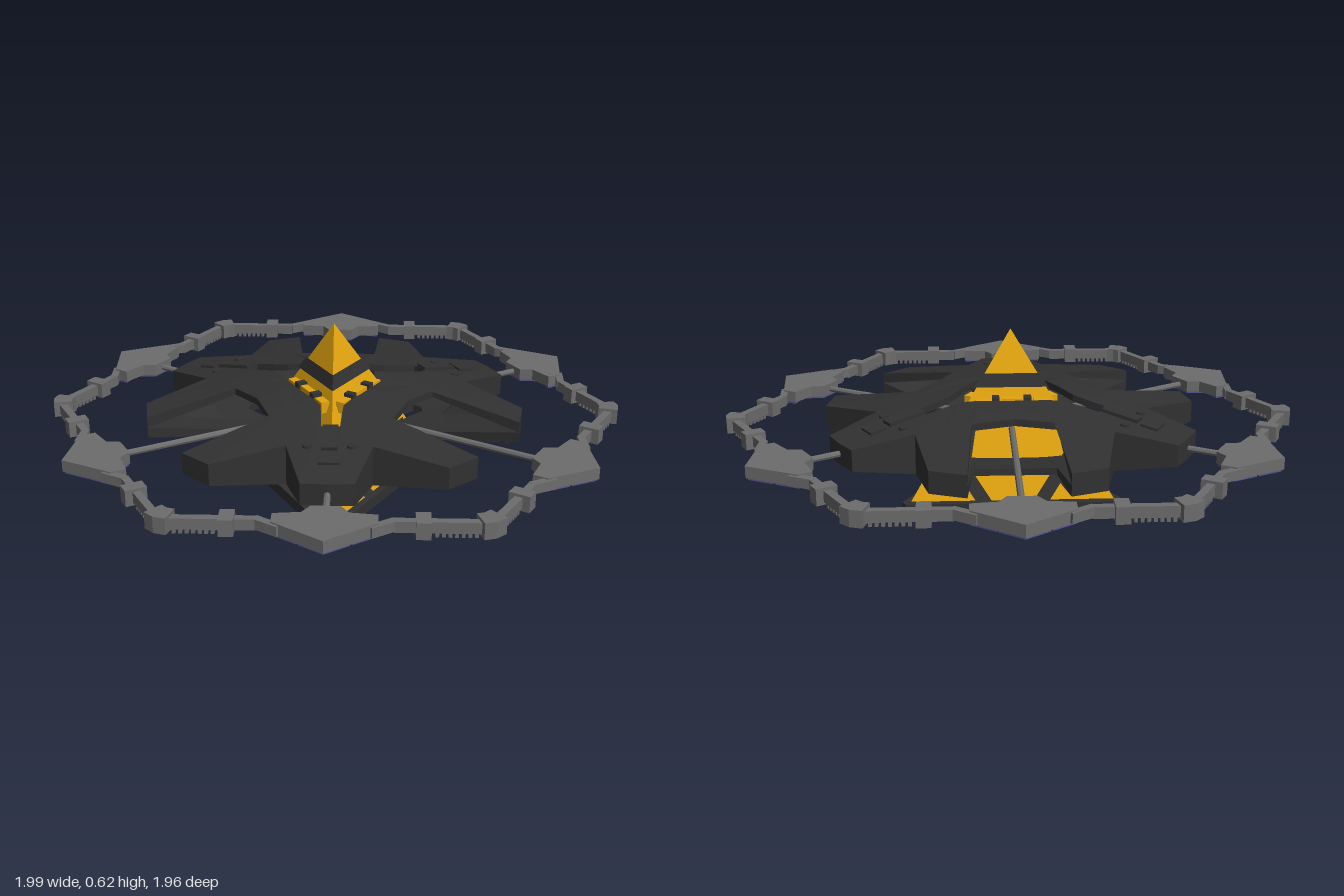
import * as THREE from 'three';

const mat = (name, color) => {
  const m = new THREE.MeshStandardMaterial({ color, flatShading: true });
  m.name = name;
  return m;
};
const hullDark = mat('charcoal', 0x313131);
const ringGrey = mat('grey', 0x6c6c6c);
const gold = mat('gold', 0xe3a40f);
const blue = mat('slateBlue', 0x565392);

const MID = 0.295; // height of the ring plane
const rad = THREE.MathUtils.degToRad;

function add(parent, name, geo, material, x = 0, y = 0, z = 0, ry = 0) {
  const m = new THREE.Mesh(geo, material);
  m.name = name;
  m.position.set(x, y, z);
  m.rotation.y = ry;
  parent.add(m);
  return m;
}
const box = (p, name, material, w, h, d, x, y, z, ry = 0) =>
  add(p, name, new THREE.BoxGeometry(w, h, d), material, x, y, z, ry);

// Flat plate from [x, z] points between heights y0 and y1
function plate(p, name, material, pts, y0, y1) {
  const s = new THREE.Shape(pts.map(([x, z]) => new THREE.Vector2(x, -z)));
  const g = new THREE.ExtrudeGeometry(s, { depth: y1 - y0, bevelEnabled: false });
  g.rotateX(-Math.PI / 2);
  return add(p, name, g, material, 0, y0, 0);
}
const mirrorX = half => [...half, ...half.slice().reverse().filter(q => q[0] !== 0).map(([x, z]) => [-x, z])];

// Horizontal bar between two [x, z] points
function bar(p, name, material, a, b, w, h, y) {
  const dx = b[0] - a[0], dz = b[1] - a[1];
  return box(p, name, material, w, h, Math.hypot(dx, dz), (a[0] + b[0]) / 2, y, (a[1] + b[1]) / 2, Math.atan2(dx, dz));
}

// Surface from loops of points, joined loop to loop and closed around
function loft(loops, flip) {
  const n = loops[0].length, idx = [];
  loops.forEach((_, k) => {
    const k2 = (k + 1) % loops.length;
    for (let i = 0; i < n; i++) {
      const j = (i + 1) % n;
      const a = k * n + i, b = k * n + j, c = k2 * n + j, d = k2 * n + i;
      if (flip) idx.push(a, b, c, a, c, d); else idx.push(a, c, b, a, d, c);
    }
  });
  const g = new THREE.BufferGeometry();
  g.setAttribute('position', new THREE.Float32BufferAttribute(loops.flat(2), 3));
  g.setIndex(idx);
  g.computeVertexNormals();
  return g;
}

// Full three-armed outline from a half arm of [degrees, radius]
function arms(half) {
  const out = [];
  for (let k = 0; k < 3; k++) {
    half.slice(1, -1).reverse().forEach(([a, r]) => out.push([k * 120 - a, r]));
    half.forEach(([a, r]) => out.push([k * 120 + a, r]));
  }
  return out;
}

const hullTop = r => Math.min(0.41, 0.41 - (r - 0.2) * 0.17);

function hullShell(sign) {
  const outer = arms([[0, 0.66], [7.3, 0.66], [17, 0.475], [35, 0.655], [46, 0.655], [36, 0.345], [60, 0.295]]);
  const mid = arms([[0, 0.5], [7, 0.48], [14, 0.4], [26, 0.4], [33, 0.38], [34, 0.28], [60, 0.22]]);
  const inner = arms([[0, 0.36], [5, 0.35], [7, 0.28], [10, 0.225], [22, 0.185], [35, 0.165], [60, 0.15]]);
  const place = (loop, height) => loop.map(([a, r]) =>
    [r * Math.sin(rad(a)), MID + sign * (height(r) - MID), r * Math.cos(rad(a))]);
  const under = r => hullTop(r) - 0.024;
  // the shells meet along the lobes and stay apart at the arches between arms
  const rim = r => (r > 0.4 ? MID : under(r));
  return loft([place(inner, hullTop), place(mid, hullTop), place(outer, hullTop),
    place(outer, rim), place(mid, under), place(inner, under)], sign < 0);
}

function buildHull() {
  const hull = new THREE.Group();
  hull.name = 'hull';
  add(hull, 'upperHullShell', hullShell(1), hullDark);
  add(hull, 'lowerHullShell', hullShell(-1), hullDark);
  for (let k = 0; k < 3; k++) {
    const arm = new THREE.Group();
    arm.name = 'armDetails';
    arm.rotation.y = rad(120 * k);
    hull.add(arm);
    // deck housings and hatches
    const slope = Math.atan(0.17);
    box(arm, 'deckHousing', hullDark, 0.05, 0.025, 0.13, 0, 0.372, 0.42).rotation.x = slope;
    box(arm, 'deckStep', hullDark, 0.07, 0.02, 0.06, 0, 0.352, 0.53).rotation.x = slope;
    for (const s of [-1, 1]) {
      add(arm, 'hatch', new THREE.CylinderGeometry(0.016, 0.016, 0.02, 10), hullDark, s * 0.07, 0.361, 0.46);
    }
  }
  return hull;
}

const APEX = 0.62;
const inradius = y => 0.362 * (APEX - y);

// Thin plate on a pyramid face from [u, y] corners
function facePlate(p, name, material, corners) {
  const pts = corners.map(([u, y]) => [u, y, inradius(y) + 0.005]);
  const g = new THREE.BufferGeometry();
  g.setAttribute('position', new THREE.Float32BufferAttribute(pts.flat(), 3));
  g.setIndex([0, 1, 2, 0, 2, 3]);
  g.computeVertexNormals();
  add(p, name, g, material);
}

// Equilateral triangle with slightly clipped corners
function triangle(r, cut) {
  const pts = [];
  for (let k = 0; k < 3; k++) {
    for (const s of [-1, 1]) {
      const a = rad(120 * k), x = s * cut, z = r - cut * 0.58;
      pts.push([x * Math.cos(a) + z * Math.sin(a), z * Math.cos(a) - x * Math.sin(a)]);
    }
  }
  return pts;
}

function buildPyramid() {
  const g = new THREE.Group();
  g.name = 'pyramid';
  g.position.z = 0.015;
  const base = 0.05;
  add(g, 'pyramidBody', new THREE.CylinderGeometry(0, 2 * inradius(base), APEX - base, 3), gold, 0, (APEX + base) / 2, 0);
  plate(g, 'basePlate', hullDark, triangle(0.438, 0.012), 0.022, 0.063);

  for (let k = 0; k < 3; k++) {
    const face = new THREE.Group();
    face.name = 'pyramidFace';
    face.rotation.y = rad(60 + 120 * k);
    g.add(face);
    const w = y => Math.sqrt(3) * (inradius(y) + 0.005);
    facePlate(face, 'upperBand', hullDark, [[-w(0.43), 0.43], [w(0.43), 0.43], [w(0.475), 0.475], [-w(0.475), 0.475]]);
    const stripe = [[0.07, 0.06], [0.125, 0.06], [0.235, 0.22], [0.18, 0.22]];
    facePlate(face, 'diagonalStripe', hullDark, stripe);
    facePlate(face, 'diagonalStripe', hullDark, stripe.map(([u, y]) => [-u, y]).reverse());
    // blocks where the pyramid meets the hull
    for (const s of [-1, 1]) {
      box(face, 'collarBlock', gold, 0.05, 0.04, 0.03, s * 0.1, 0.375, 0.1);
      box(face, 'collarClamp', hullDark, 0.025, 0.05, 0.035, s * 0.055, 0.38, 0.1);
    }
    box(face, 'collarBar', gold, 0.07, 0.03, 0.025, 0, 0.385, 0.1);
  }

  // ribbed panel under the base
  plate(g, 'bottomPanel', gold, [[-0.25, -0.165], [0.25, -0.165], [0.09, 0.11], [-0.09, 0.11]], 0.015, 0.023);
  box(g, 'bottomSpine', hullDark, 0.05, 0.012, 0.27, 0, 0.014, -0.02);
  for (const s of [-1, 1]) {
    for (let i = 0; i < 6; i++) {
      const z = -0.13 + i * 0.042, reach = 0.11 - i * 0.011, edge = 0.235 - i * 0.0244;
      bar(g, 'bottomRib', hullDark, [0, z + 0.02], [s * reach, z - 0.01], 0.016, 0.01, 0.013);
      bar(g, 'edgeTooth', hullDark, [s * edge, z], [s * (edge - 0.05), z], 0.018, 0.01, 0.013);
    }
  }
  plate(g, 'foot', hullDark, [[-0.34, -0.19], [-0.19, -0.19], [-0.24, -0.06]], 0, 0.023);
  return g;
}

function buildRing() {
  const ring = new THREE.Group();
  ring.name = 'outerRing';
  for (let k = 0; k < 6; k++) {
    const side = new THREE.Group();
    side.name = 'ringSide';
    side.rotation.y = rad(60 * k);
    ring.add(side);

    const head = mirrorX([[0, 0.98], [0.155, 0.872], [0.155, 0.82], [0.07, 0.81], [0.045, 0.77]]);
    plate(side, 'spearHead', ringGrey, head, 0.278, 0.318);
    // tiles under the spear head
    plate(side, 'tipTile', blue, mirrorX([[0, 0.972], [0.075, 0.92], [0.05, 0.888], [0, 0.903]]), 0.27, 0.2785);
    plate(side, 'innerTile', blue, mirrorX([[0, 0.895], [0.047, 0.88], [0.082, 0.836], [0.068, 0.814], [0.042, 0.774]]), 0.27, 0.2785);
    for (const s of [-1, 1]) {
      plate(side, 'sideTile', blue, [[s * 0.081, 0.916], [s * 0.151, 0.868], [s * 0.151, 0.824], [s * 0.09, 0.838], [s * 0.056, 0.882]], 0.27, 0.2785);

      bar(side, 'ringBar', ringGrey, [s * 0.485, 0.84], [s * 0.2, 0.84], 0.026, 0.036, MID);
      bar(side, 'ringElbow', ringGrey, [s * 0.205, 0.836], [s * 0.13, 0.885], 0.026, 0.033, 0.297);
      box(side, 'ringClamp', ringGrey, 0.045, 0.054, 0.07, s * 0.285, MID, 0.842);
      box(side, 'cornerClamp', ringGrey, 0.04, 0.054, 0.065, s * 0.468, MID, 0.835, s * 0.3);
      for (let i = 0; i < 7; i++) {
        box(side, 'ringTooth', ringGrey, 0.011, 0.016, 0.022, s * (0.325 + i * 0.019), 0.271, 0.84);
      }
    }
    const spoke = new THREE.CylinderGeometry(0.011, 0.011, 0.74, 8).rotateX(Math.PI / 2);
    add(side, 'spoke', spoke, ringGrey, 0, MID, 0.42);
  }
  return ring;
}

export function createModel() {
  const model = new THREE.Group();
  model.name = 'pyramidStation';
  model.add(buildPyramid(), buildHull(), buildRing());
  return model;
}
